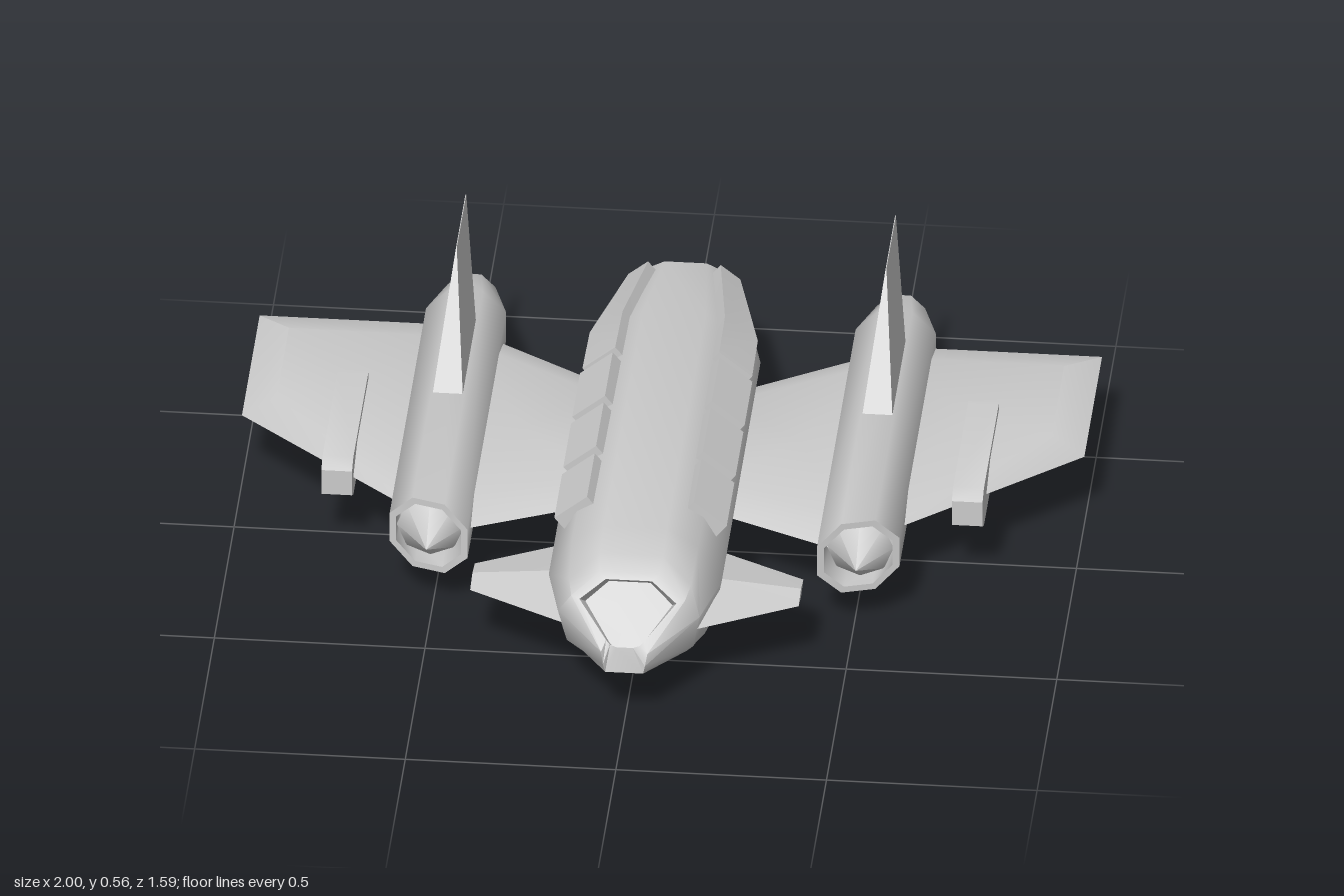
import * as THREE from 'three';
import { toCreasedNormals } from 'three/addons/utils/BufferGeometryUtils.js';

const material = new THREE.MeshStandardMaterial({ color: 0xcccccc });

// Skin a list of equal-length rings of [x, y, z] points, closing both ends.
function loft(rings, crease = 0.9) {
  const n = rings[0].length;
  const pos = rings.flat(2);
  const idx = [];
  for (let r = 0; r < rings.length - 1; r++) {
    for (let i = 0; i < n; i++) {
      const a = r * n + i, b = r * n + (i + 1) % n;
      idx.push(a, b, b + n, a, b + n, a + n);
    }
  }
  [0, rings.length - 1].forEach((r, end) => {
    const c = pos.length / 3;
    for (let k = 0; k < 3; k++) pos.push(rings[r].reduce((s, p) => s + p[k], 0) / n);
    for (let i = 0; i < n; i++) {
      const a = r * n + i, b = r * n + (i + 1) % n;
      if (end) idx.push(a, b, c); else idx.push(b, a, c);
    }
  });
  // Turn the faces outward whichever way the rings run
  const p = i => new THREE.Vector3().fromArray(pos, i * 3);
  let volume = 0;
  for (let t = 0; t < idx.length; t += 3) volume += p(idx[t]).dot(p(idx[t + 1]).cross(p(idx[t + 2])));
  if (volume < 0) idx.reverse();
  const g = new THREE.BufferGeometry();
  g.setAttribute('position', new THREE.Float32BufferAttribute(pos, 3));
  g.setIndex(idx);
  return toCreasedNormals(g, crease);
}

// Complete a half section (top to bottom, +x side) with its mirror image
const mirrorRing = half => [...half, ...half.slice().reverse().map(([x, y, z]) => [-x, y, z])];

// Flat outline of [x, z] points placed at height y
const plan = (pts, y, s = 1) => pts.map(([x, z]) => [x * s, y, z]);

// Plate with bevelled edges: inset faces above and below a wider middle outline
const plate = (outer, inner, s) => loft([plan(inner, 0.15, s), plan(outer, 0.187, s), plan(inner, 0.225, s)], 0.5);

const rect = (x, z0, z1) => [[x, z0], [x, z1], [-x, z1], [-x, z0]];

// Octagonal ring with a flat top; slant makes the outboard side sit further back
function octagon(r, z, s, slant = 0) {
  return Array.from({ length: 8 }, (_, i) => {
    const a = (i + 0.5) * Math.PI / 4;
    const dx = Math.cos(a) * r;
    return [s * (0.51 + dx), 0.19 + Math.sin(a) * r, z - dx * slant];
  });
}

export function createModel() {
  const root = new THREE.Group();
  const add = (name, geometry, parent = root) => {
    const mesh = new THREE.Mesh(geometry, material);
    mesh.name = name;
    parent.add(mesh);
    return mesh;
  };

  // Fuselage, ending in a sloped nose with a sunken cockpit window
  const body = (z, top) => [[0.075, top, z], [0.15, top - 0.045, z], [0.205, 0.23, z], [0.185, 0.13, z], [0.165, 0.085, z]];
  const windowRim = [[0.055, 0.322, 0.668], [0.115, 0.28, 0.695], [0.045, 0.215, 0.768], [0.035, 0.207, 0.775], [0.02, 0.203, 0.779]];
  add('fuselage', loft([
    [[0.05, 0.315, -0.775], [0.1, 0.29, -0.775], [0.135, 0.23, -0.775], [0.12, 0.16, -0.775], [0.1, 0.13, -0.775]],
    body(-0.48, 0.358),
    body(0.51, 0.372),
    [[0.075, 0.352, 0.6], [0.145, 0.3, 0.64], [0.168, 0.23, 0.67], [0.15, 0.13, 0.64], [0.13, 0.085, 0.59]],
    [[0.07, 0.335, 0.655], [0.135, 0.285, 0.688], [0.055, 0.195, 0.79], [0.05, 0.165, 0.797], [0.045, 0.14, 0.79]],
    windowRim,
    windowRim.map(([x, y, z]) => [x * 0.9, y - 0.02, z - 0.025]),
  ].map(mirrorRing)));

  const nozzle = add('tailNozzle', new THREE.CylinderGeometry(0.03, 0.03, 0.03, 8));
  nozzle.rotation.x = Math.PI / 2;
  nozzle.position.set(0, 0.213, -0.78);

  // Belly keel
  add('bellyHull', loft([
    plan(rect(0.075, 0.4, -0.27), 0),
    plan(rect(0.135, 0.5, -0.37), 0.052),
    plan(rect(0.135, 0.5, -0.37), 0.1),
  ], 0.4));

  for (const s of [1, -1]) {
    const side = new THREE.Group();
    side.name = s > 0 ? 'leftSide' : 'rightSide';
    root.add(side);

    // Shoulder blocks along the back
    for (const z of [0.277, 0.048, -0.178]) {
      const block = add('shoulderBlock', new THREE.BoxGeometry(0.1, 0.05, 0.196), side);
      block.position.set(s * 0.15, 0.315, z);
      block.rotation.z = -s * 0.68;
    }
    const blockEnd = (x, y, w, z) => [[-w, 0.02], [w, 0.02], [w, -0.03], [-w, -0.03]].map(([u, v]) =>
      [s * (x + u * 0.78 + v * 0.63), y - u * 0.63 + v * 0.78, z]);
    add('rearShoulderBlock', loft([
      blockEnd(0.15, 0.315, 0.05, -0.305),
      blockEnd(0.148, 0.313, 0.05, -0.47),
      blockEnd(0.097, 0.3, 0.03, -0.74),
    ]), side);

    // Wings inside and outside the nacelle
    add('innerWing', plate(
      [[0.15, 0.132], [0.5, 0.29], [0.5, -0.63], [0.15, -0.41]],
      [[0.15, 0.04], [0.5, 0.2], [0.5, -0.52], [0.15, -0.31]], s), side);
    add('outerWing', plate(
      [[0.52, 0.22], [1, -0.2], [1, -0.65], [0.52, -0.65]],
      [[0.52, 0.12], [0.92, -0.23], [0.92, -0.54], [0.52, -0.54]], s), side);

    // Nose winglet
    const diamond = (x, z0, z1, t) => [[0, z0], [t, (z0 + z1) / 2], [0, z1], [-t, (z0 + z1) / 2]].map(([y, z]) => [s * x, 0.187 + y, z]);
    add('noseWinglet', loft([diamond(0.14, 0.28, 0.665, 0.035), diamond(0.39, 0.41, 0.53, 0.012)], 0.3), side);

    // Engine nacelle with a hollow, swept intake and its spike
    add('nacelle', loft([
      octagon(0.062, -0.785, s),
      octagon(0.103, -0.65, s),
      octagon(0.103, 0.3, s, 0.31),
      octagon(0.086, 0.3, s, 0.31),
      octagon(0.083, 0.2, s),
    ]), side);
    const spike = add('intakeSpike', new THREE.ConeGeometry(0.08, 0.11, 8), side);
    spike.rotation.x = Math.PI / 2;
    spike.position.set(s * 0.51, 0.19, 0.31);

    // Tail fin, thick at the foot and a knife edge on top
    const finRing = (y, pts) => pts.map(([x, z]) => [s * 0.51 + x, y, z]);
    add('tailFin', loft([
      finRing(0.265, [[0.038, -0.17], [0.038, -0.51], [0.008, -0.645], [-0.008, -0.645], [-0.038, -0.51], [-0.038, -0.17]]),
      finRing(0.555, [[0.001, -0.405], [0.001, -0.51], [0.001, -0.645], [-0.001, -0.645], [-0.001, -0.51], [-0.001, -0.405]]),
    ], 0.6), side);

    // Wing pod with a chamfered front
    const podSide = x => [[0.157, 0.085], [0.223, 0.085], [0.242, 0.05], [0.242, -0.335], [0.138, -0.335], [0.138, 0.05]]
      .map(([y, z]) => [s * x, y, z]);
    add('wingPod', loft([podSide(0.712), podSide(0.785)]), side);
  }
  return root;
}
